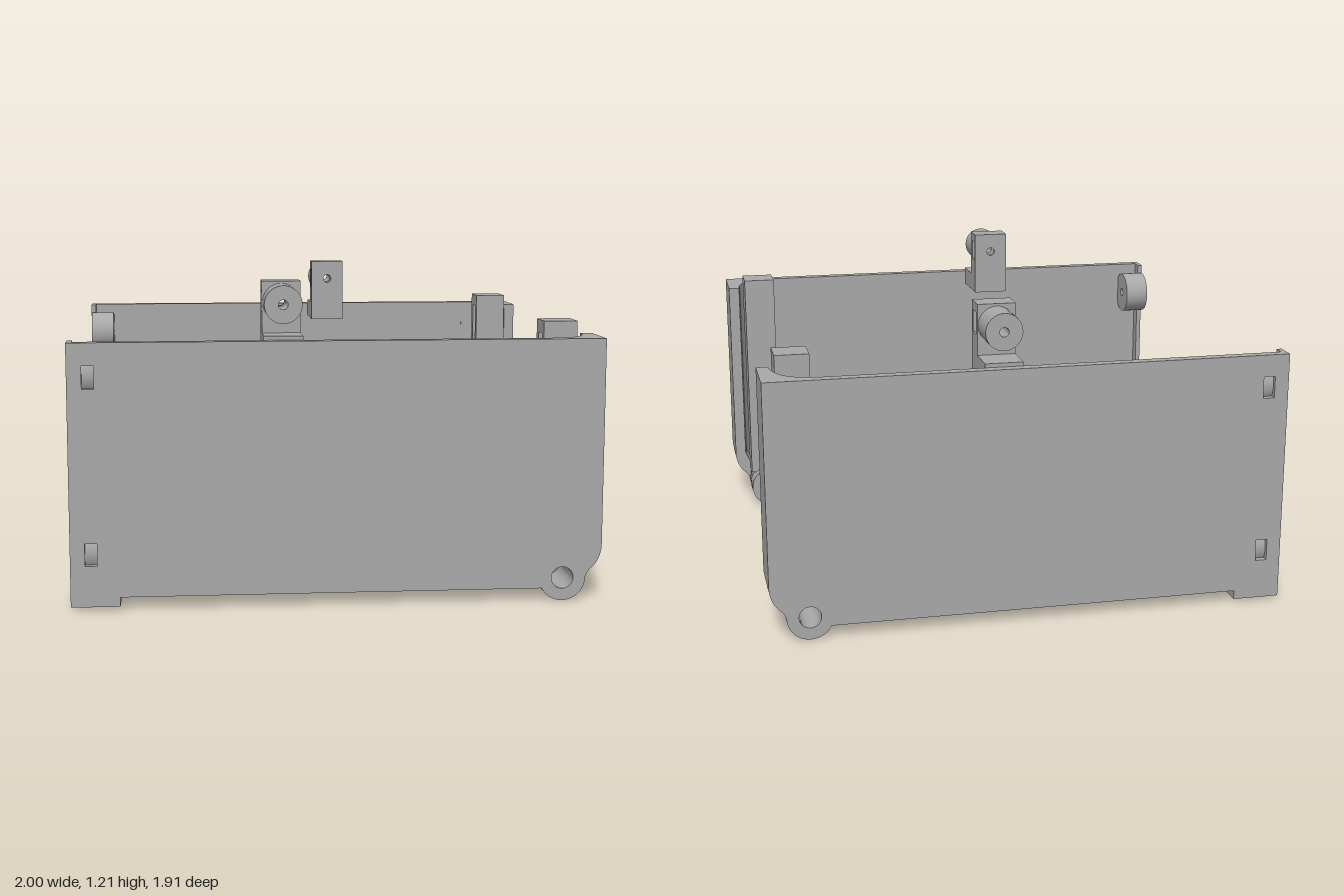
import * as THREE from 'three';
import { toCreasedNormals } from 'three/addons/utils/BufferGeometryUtils.js';

const grey = new THREE.MeshStandardMaterial({ color: 0xa8a8a8 });
grey.name = 'plain grey';

function add(parent, name, geometry) {
  const mesh = new THREE.Mesh(geometry, grey);
  mesh.name = name;
  parent.add(mesh);
}

function boxGeometry(x0, x1, y0, y1, z0, z1) {
  return new THREE.BoxGeometry(x1 - x0, y1 - y0, Math.abs(z1 - z0))
    .translate((x0 + x1) / 2, (y0 + y1) / 2, (z0 + z1) / 2);
}

// Extrudes an xy shape between two z positions, in either order
function extrudeZ(shape, z0, z1) {
  const geometry = new THREE.ExtrudeGeometry(shape, {
    depth: Math.abs(z1 - z0), bevelEnabled: false, curveSegments: 16,
  });
  return toCreasedNormals(geometry.translate(0, 0, Math.min(z0, z1)), 0.6);
}

function polygon(points, Type = THREE.Shape) {
  return new Type(points.map(([x, y]) => new THREE.Vector2(x, y)));
}

function rectangle(x0, x1, y0, y1, Type) {
  return polygon([[x0, y0], [x1, y0], [x1, y1], [x0, y1]], Type);
}

function hole(x, y, r) {
  return new THREE.Path().absarc(x, y, r, 0, Math.PI * 2, true);
}

function ring(x, y, r, inner) {
  const shape = new THREE.Shape().absarc(x, y, r, 0, Math.PI * 2, false);
  shape.holes.push(hole(x, y, inner));
  return shape;
}

const HX = 0.85, HY = 0.09, HR = 0.088; // hinge centre and radius

// Side panel outline with its hinge lobe, windows and pin hole
function panelShape() {
  const shape = new THREE.Shape();
  shape.moveTo(-1, 0.05);
  shape.lineTo(0.772, 0.05);
  shape.absarc(HX, HY, HR, Math.PI + 0.47, Math.PI * 2, false);
  shape.quadraticCurveTo(0.945, 0.115, 0.965, 0.13);
  shape.quadraticCurveTo(1, 0.165, 1, 0.22);
  shape.lineTo(1, 1);
  shape.lineTo(-1, 1);
  shape.closePath();
  for (const y of [0.17, 0.83]) shape.holes.push(rectangle(-0.945, -0.9, y, y + 0.085, THREE.Path));
  shape.holes.push(hole(HX, HY, 0.042));
  return shape;
}

// s is +1 for the front side and -1 for the back; clipX is the clip's centre
function createSide(s, clipX) {
  const side = new THREE.Group();
  side.name = s > 0 ? 'frontSide' : 'backSide';
  const block = (name, x0, x1, y0, y1, z0, z1) =>
    add(side, name, boxGeometry(x0, x1, y0, y1, s * z0, s * z1));
  const prism = (name, shape, z0, z1) => add(side, name, extrudeZ(shape, s * z0, s * z1));

  prism('panel', panelShape(), 0.915, 0.955);

  // Return wall at the open end, filleted into the panel
  const wall = new THREE.Shape();
  wall.moveTo(0.78, s * 0.92);
  wall.lineTo(1, s * 0.92);
  wall.lineTo(1, s * 0.73);
  wall.lineTo(0.955, s * 0.73);
  wall.bezierCurveTo(0.95, s * 0.85, 0.9, s * 0.912, 0.78, s * 0.914);
  const wallGeometry = new THREE.ExtrudeGeometry(wall, { depth: 0.8, bevelEnabled: false, curveSegments: 16 });
  wallGeometry.rotateX(Math.PI / 2).translate(0, 1, 0);
  add(side, 'returnWall', toCreasedNormals(wallGeometry, 0.6));

  // Curved foot of the return wall
  const foot = new THREE.Shape();
  foot.moveTo(0.9, 0.1);
  foot.lineTo(0.938, 0.09);
  foot.quadraticCurveTo(0.945, 0.115, 0.965, 0.13);
  foot.quadraticCurveTo(1, 0.165, 1, 0.22);
  foot.lineTo(0.955, 0.22);
  prism('wallFoot', foot, 0.73, 0.915);

  // Hinge barrels with a gap between them
  prism('innerHingeBarrel', ring(HX, HY, HR, 0.024), 0.595, 0.68);
  prism('outerHingeBarrel', ring(HX, HY, HR, 0.042), 0.725, 0.915);

  // Slotted post: two rails, a web and a cap, tied to the panel by a strut
  block('postRail', 0.805, 0.935, 0.15, 1.0, 0.64, 0.675);
  block('postRail', 0.805, 0.935, 0.15, 1.0, 0.73, 0.765);
  block('postWeb', 0.875, 0.935, 0.06, 1.0, 0.675, 0.73);
  block('postCap', 0.805, 0.935, 1.0, 1.05, 0.64, 0.765);
  block('postStrut', 0.805, 0.88, 0.46, 0.74, 0.765, 0.915);

  // Screw bosses and edge rib at the crossbar end
  for (const y of [0.213, 0.875]) {
    const boss = extrudeZ(ring(0, 0, 0.09, 0.018), 0, 0.1);
    add(side, 'screwBoss', boss.rotateY(Math.PI / 2).translate(-0.995, y, s * 0.85));
  }
  block('edgeRib', -1, -0.98, 0.05, 1.0, 0.87, 0.916);

  // Rectangular inner tab
  block('innerTab', -0.695, -0.655, 0.18, 0.355, 0.68, 0.916);

  // Top clip: shelf, drilled and slotted block, round socket
  const x0 = clipX - 0.073, x1 = clipX + 0.073;
  const drilled = rectangle(x0, x1, 1.01, 1.21);
  drilled.holes.push(hole(clipX, 1.13, 0.018));
  block('clipShelf', x0, x1, 0.94, 1.015, 0.69, 0.916);
  prism('clipInnerFace', drilled, 0.69, 0.71);
  prism('clipOuterFace', drilled, 0.755, 0.785);
  block('clipTop', x0, x1, 1.175, 1.21, 0.71, 0.755);
  block('clipBase', x0, x1, 1.01, 1.09, 0.71, 0.755);
  prism('clipSocket', ring(clipX, 1.13, 0.071, 0.018), 0.785, 0.915);
  return side;
}

export function createModel() {
  const model = new THREE.Group();
  model.name = 'bracketFrame';
  model.add(createSide(1, -0.205), createSide(-1, 0.105));

  // Crossbar joining the two sides, its top sloping inward
  const bar = polygon([[-1, 0.015], [-0.817, 0.015], [-0.817, 0.094], [-1, 0.11]]);
  add(model, 'crossbar', extrudeZ(bar, -0.955, 0.955));
  return model;
}
